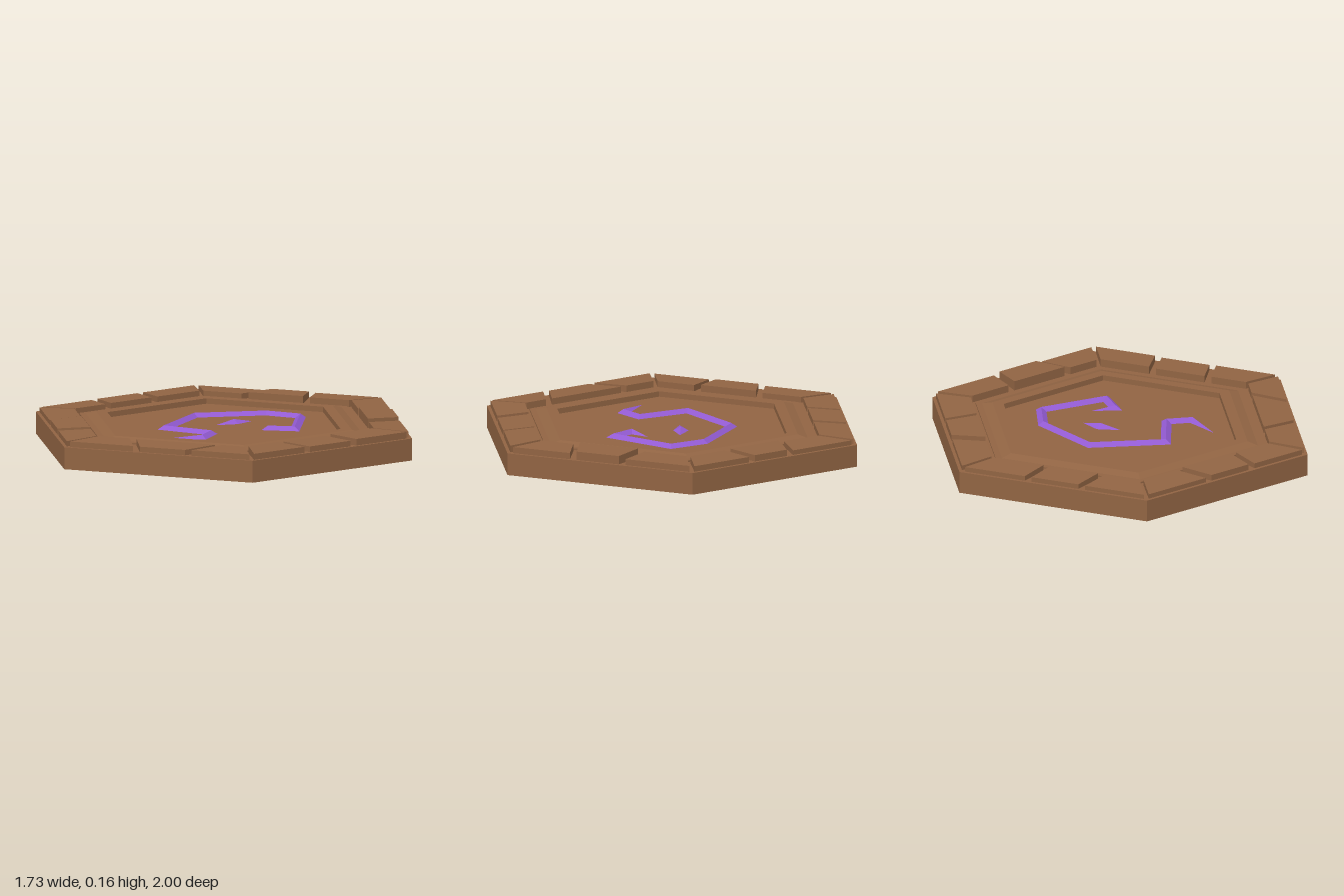
import * as THREE from 'three';

const brown = new THREE.MeshStandardMaterial({ color: 0x916443 });
brown.name = 'brown stone';
const purple = new THREE.MeshStandardMaterial({ color: 0x935bd3 });
purple.name = 'purple rune';

// Flat-shaded geometry from a list of triangles
function flat(tris) {
  const g = new THREE.BufferGeometry();
  g.setAttribute('position', new THREE.Float32BufferAttribute(tris.flat(2), 3));
  g.computeVertexNormals();
  return g;
}

function add(group, name, geometry, material) {
  const mesh = new THREE.Mesh(geometry, material);
  mesh.name = name;
  group.add(mesh);
}

// Hexagonal solid with a corner on +z, from a radius/height profile
function hexLathe(profile) {
  const points = profile.map(([r, y]) => new THREE.Vector2(r, y));
  const g = new THREE.LatheGeometry(points, 6).toNonIndexed();
  g.computeVertexNormals();
  return g;
}

// Rim block on the edge facing the given angle: joints [outer, inner] along the edge
function block(angle, start, end, height) {
  const place = (reach, along, y) => [
    Math.cos(angle) * reach - Math.sin(angle) * along, y,
    Math.sin(angle) * reach + Math.cos(angle) * along,
  ];
  const outer = 0.85, inner = 0.69, lean = 0.006;
  const ring = (yOuter, yInner) => [
    place(outer, start[0], yOuter), place(inner, start[1], yInner),
    place(inner, end[1], yInner), place(outer, end[0], yOuter),
  ];
  const top = ring(height, height + lean);
  const bottom = ring(0.1, 0.1);
  const tris = [[top[0], top[1], top[2]], [top[0], top[2], top[3]]];
  for (let i = 0; i < 4; i++) {
    const j = (i + 1) % 4;
    tris.push([bottom[i], bottom[j], top[j]], [bottom[i], top[j], top[i]]);
  }
  return flat(tris);
}

// Turn a triangle so that it faces up
function up(a, b, c) {
  const ny = (b[2] - a[2]) * (c[0] - a[0]) - (b[0] - a[0]) * (c[2] - a[2]);
  return ny < 0 ? [a, c, b] : [a, b, c];
}

// Mitred ridge along a path, pointed at both ends
function ridge(path, half, floor, crest) {
  const pts = path.map(([x, z]) => new THREE.Vector2(x, z));
  const last = pts.length - 1;
  const rows = pts.map((p, i) => {
    if (i === 0 || i === last) return [0, 1, 2].map(() => [p.x, floor, p.y]);
    const d1 = p.clone().sub(pts[i - 1]).normalize();
    const d2 = pts[i + 1].clone().sub(p).normalize();
    const n1 = new THREE.Vector2(-d1.y, d1.x);
    const n = n1.clone().add(new THREE.Vector2(-d2.y, d2.x)).normalize();
    n.multiplyScalar(half / Math.max(n.dot(n1), 0.5));
    return [[p.x + n.x, floor, p.y + n.y], [p.x, crest, p.y], [p.x - n.x, floor, p.y - n.y]];
  });
  const tris = [];
  for (let i = 0; i < last; i++) {
    for (let k = 0; k < 2; k++) {
      const [a, b, c, d] = [rows[i][k], rows[i][k + 1], rows[i + 1][k + 1], rows[i + 1][k]];
      if (i > 0) tris.push(up(a, b, c));
      if (i < last - 1) tris.push(up(a, c, d));
    }
  }
  return flat(tris);
}

export function createModel() {
  const model = new THREE.Group();
  model.name = 'hexTile';

  // Slab with a stepped, bevelled frame around a sunken floor
  add(model, 'baseSlab', hexLathe([
    [0, 0], [1, 0], [1, 0.11], [0.77, 0.11], [0.77, 0.118], [0.735, 0.118],
    [0.68, 0.132], [0.62, 0.132], [0.62, 0.105], [0, 0.105],
  ]), brown);

  // Six edges from +x towards +z: two slanted joints [outer, inner] and three heights
  const edges = [
    { joints: [[-0.145, -0.11], [0.145, 0.185]], heights: [0.143, 0.138, 0.14] },
    { joints: [[-0.152, -0.249], [0.123, 0.205]], heights: [0.138, 0.137, 0.138] },
    { joints: [[-0.163, -0.172], [0.104, 0.162]], heights: [0.136, 0.14, 0.133] },
    { joints: [[-0.145, -0.185], [0.14, 0.105]], heights: [0.132, 0.134, 0.134] },
    { joints: [[-0.104, -0.166], [0.127, 0.16]], heights: [0.133, 0.142, 0.138] },
    { joints: [[-0.112, -0.143], [0.152, 0.205]], heights: [0.14, 0.152, 0.141] },
  ];
  const rim = new THREE.Group();
  rim.name = 'rimBlocks';
  const gap = 0.018;
  edges.forEach(({ joints, heights }, e) => {
    const cuts = [[-0.495, -0.405], ...joints, [0.495, 0.405]];
    heights.forEach((height, i) => {
      const start = cuts[i].map((s) => s + gap);
      const end = cuts[i + 1].map((s) => s - gap);
      add(rim, `rimBlock${e * 3 + i + 1}`, block(e * Math.PI / 3, start, end, height), brown);
    });
  });
  model.add(rim);

  // Angular rune line and the diamond at its middle
  add(model, 'runeLine', ridge([
    [0.14, -0.21], [0.21, -0.11], [0.31, -0.2], [0.05, -0.44], [-0.12, -0.36],
    [-0.29, -0.04], [-0.11, 0.29], [0.14, 0.19], [0.21, 0.3], [0.1, 0.46],
  ], 0.025, 0.105, 0.125), purple);
  add(model, 'runeDiamond', ridge([[-0.02, -0.19], [-0.035, -0.09], [-0.04, 0.02]], 0.038, 0.105, 0.125), purple);

  return model;
}
